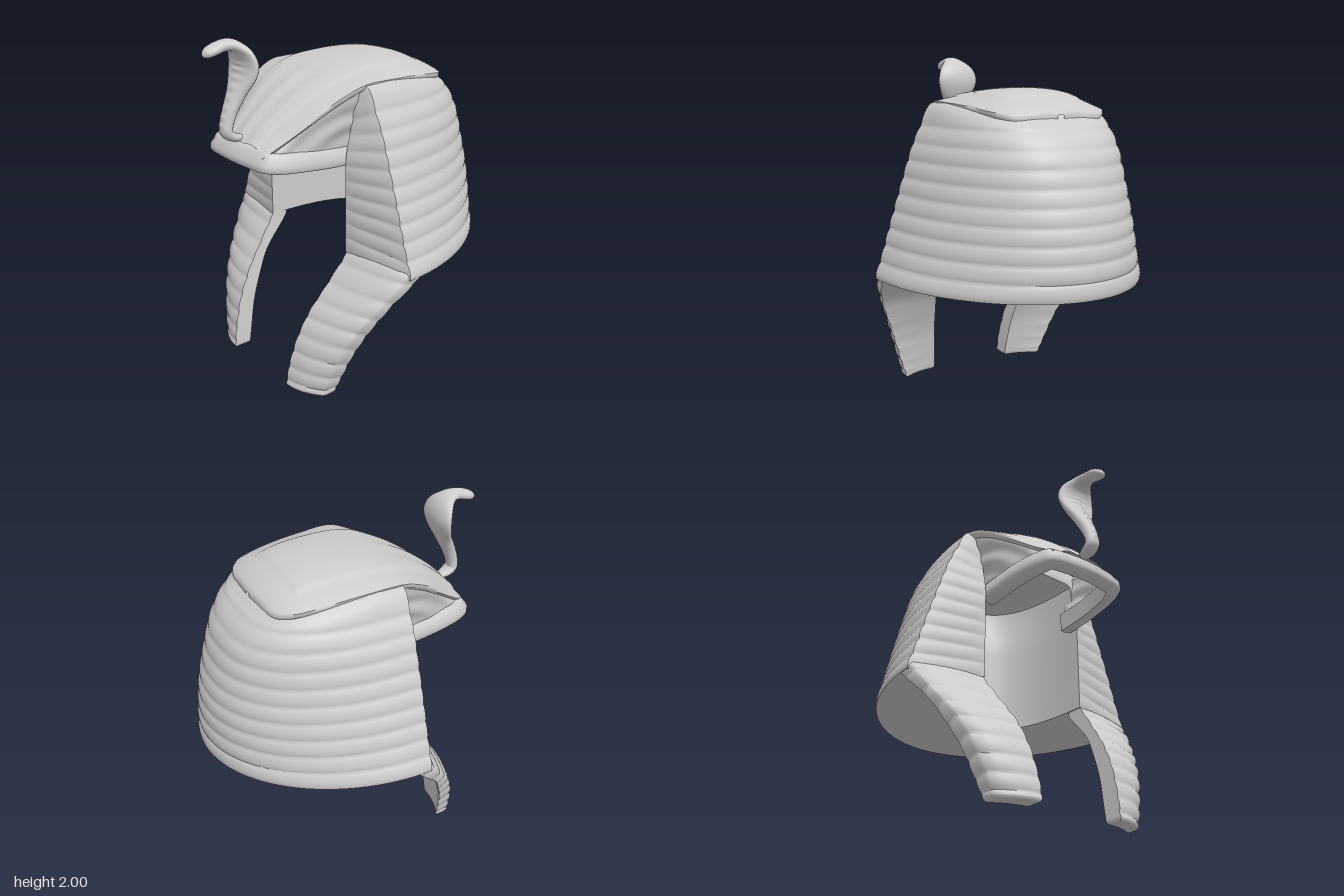
import * as THREE from 'three';
import { toCreasedNormals } from 'three/addons/utils/BufferGeometryUtils.js';

const V = (x, y, z) => new THREE.Vector3(x, y, z);
const lerp = THREE.MathUtils.lerp;
const smooth = THREE.MathUtils.smoothstep;
const power = (v, e) => Math.sign(v) * Math.pow(Math.abs(v), e);
// Rounded cloth band profile, 0 at each seam
const band = (t) => Math.pow(Math.abs(Math.sin(Math.PI * t)), 0.6);

// Smooth interpolation through rows of numbers, t from 0 to 1
function spline(rows) {
  const n = rows.length - 1;
  return (t) => {
    const p = Math.min(Math.max(t, 0), 1) * n;
    const i = Math.min(Math.floor(p), n - 1), f = p - i;
    const a = rows[Math.max(i - 1, 0)], b = rows[i], c = rows[i + 1], d = rows[Math.min(i + 2, n)];
    return b.map((_, k) => {
      const cubic = 3 * (b[k] - c[k]) + d[k] - a[k];
      const square = 2 * a[k] - 5 * b[k] + 4 * c[k] - d[k];
      return b[k] + 0.5 * f * (c[k] - a[k] + f * (square + f * cubic));
    });
  };
}

// Skin a list of cross-sections; faces are turned to point outward
function loft(rings, { closed = true, caps = false, crease = 0.8 } = {}) {
  const n = rings[0].length, pts = rings.flat(), idx = [];
  for (let r = 0; r < rings.length - 1; r++) {
    for (let i = 0; i < (closed ? n : n - 1); i++) {
      const a = r * n + i, b = r * n + (i + 1) % n;
      idx.push(a, b, a + n, b, b + n, a + n);
    }
  }
  if (caps) {
    [0, rings.length - 1].forEach((r) => {
      const mid = rings[r].reduce((s, p) => s.add(p), V(0, 0, 0)).divideScalar(n);
      const m = pts.push(mid) - 1;
      for (let i = 0; i < n; i++) {
        const a = r * n + i, b = r * n + (i + 1) % n;
        idx.push(...(r ? [a, b, m] : [b, a, m]));
      }
    });
  }
  let volume = 0;
  const cross = V(0, 0, 0);
  for (let i = 0; i < idx.length; i += 3) {
    volume += cross.crossVectors(pts[idx[i + 1]], pts[idx[i + 2]]).dot(pts[idx[i]]);
  }
  if (volume < 0) idx.reverse();
  const geo = new THREE.BufferGeometry().setFromPoints(pts);
  geo.setIndex(idx);
  // Enlarged while finding creases so that close vertices stay apart
  geo.scale(40, 40, 40);
  const out = toCreasedNormals(geo, crease);
  out.scale(1 / 40, 1 / 40, 1 / 40);
  return out;
}

// Hollow banded hood, open at the face
function hoodGeometry() {
  const shape = spline([ // half width, back depth, squareness, at y = 0.7 to 1.7
    [0.797, 0.875, 1.94], [0.735, 0.866, 2], [0.673, 0.842, 2.1],
    [0.608, 0.792, 2.25], [0.538, 0.717, 2.55], [0.452, 0.575, 3.1]]);
  const U = 56, P = 4, z0 = 0.15, rings = [];
  const ring = (y, iy, scale, fold = 0) => {
    const [w, back, n] = shape(y - 0.7);
    const bump = 0.011 * band((y - 0.74) / 0.0965);
    const outer = [], inner = [];
    for (let i = 0; i <= U; i++) {
      const a = Math.PI * i / U, c = Math.cos(a), s = Math.sin(a);
      const zo = z0 - (back + z0 + bump) * Math.pow(s, 2 / n) * scale;
      const sag = 0.09 * Math.max(0, -zo) * smooth(y, 1.6, 1.73);
      const o = V((w + bump) * power(c, 2 / n) * scale, y - sag, zo);
      const zi = 0.235 - 0.05 * smooth(iy, 1.3, 1.62);
      const q = V(0.35 * power(c, 0.75) * scale, iy, zi - 0.64 * Math.pow(s, 0.75) * scale);
      const mid = o.clone().lerp(q, 0.5);
      outer.push(o.lerp(mid, fold));
      inner.push(q.lerp(mid, fold));
    }
    const panel = (a, b) => Array.from({ length: P }, (_, k) => {
      const p = a.clone().lerp(b, (k + 1) / (P + 1));
      p.z += 0.8 * bump * (1 - fold);
      return p;
    });
    return [...outer, ...panel(outer[U], inner[U]), ...inner.slice().reverse(), ...panel(inner[0], outer[0])];
  };
  rings.push(ring(0.74, 0.78, 1, 1));
  const rows = 80;
  for (let r = 0; r <= rows; r++) rings.push(ring(lerp(0.74, 1.7, r / rows), lerp(0.78, 1.62, r / rows), 1));
  rings.push(ring(1.725, 1.63, 0.95), ring(1.742, 1.635, 0.87), ring(1.75, 1.64, 0));
  return loft(rings);
}

// Crown plate stations, front to back: z, top y, rim half width, rim y
const crown = spline([
  [0.7, 1.44, 0.235, 1.43], [0.6, 1.54, 0.265, 1.485], [0.45, 1.655, 0.33, 1.59],
  [0.3, 1.735, 0.385, 1.685], [0.15, 1.785, 0.412, 1.742], [-0.05, 1.812, 0.405, 1.74],
  [-0.25, 1.812, 0.39, 1.728], [-0.4, 1.78, 0.365, 1.71], [-0.48, 1.75, 0.33, 1.7],
  [-0.54, 1.715, 0.24, 1.685], [-0.56, 1.69, 0.02, 1.68]]);

function crownGeometry() {
  const rings = [], S = 24;
  for (let r = 0; r <= 80; r++) {
    const [z, top, w, rim] = crown(r / 80), ring = [];
    const front = Math.max(0, (z - 0.4) / 0.3);
    const curl = (side) => [V(side * w * 0.93, rim - 0.045, z), V(side * w, rim - 0.022, z)];
    for (let i = -S; i <= S; i++) {
      const s = i / S, a = Math.abs(s);
      const raised = 0.01 * smooth(z, -0.42, -0.37) * (1 - smooth(a, 0.6, 0.72));
      const pleat = 0.005 * Math.cos(s * 14) * smooth(z, 0.1, 0.35) * (1 - a);
      ring.push(V(w * s, rim + (top - rim) * (1 - Math.pow(a, 2.4)) + raised + pleat, z - 0.04 * s * s * front));
    }
    rings.push([...curl(-1), ...ring, ...curl(1).reverse()]);
  }
  return loft(rings, { closed: false, crease: 1.1 });
}

// Recessed side panel with arched ribs, between crown rim and brow band
function templeGeometry(side) {
  const foot = spline([[0.205], [0.255], [0.295], [0.31], [0.315]]);
  const rings = [];
  for (let r = 0; r <= 40; r++) {
    const [z, , w, rim] = crown(0.4 * r / 40), [xb] = foot(r / 40), ring = [];
    for (let i = 0; i <= 24; i++) {
      const y = lerp(rim - 0.04, 1.37 + 0.08 * (z - 0.2), i / 24);
      const rib = 0.008 * Math.sin(48 * Math.hypot((z - 0.18) * 0.7, y - 1.36));
      ring.push(V(side * (lerp(w * 0.94, xb, i / 24) + rib * Math.sin(Math.PI * i / 24)), y, z));
    }
    rings.push(ring);
  }
  return loft(rings, { closed: false });
}

// Band over the forehead, swept from temple to temple
function browGeometry() {
  const half = [[0.345, 0.19, 1.29], [0.345, 0.32, 1.297], [0.337, 0.47, 1.31],
    [0.307, 0.63, 1.322], [0.25, 0.715, 1.333], [0.12, 0.738, 1.337]];
  const path = spline([...half, [0, 0.745, 1.338], ...half.slice().reverse().map(([x, z, y]) => [-x, z, y])]);
  const rings = [];
  for (let r = 0; r <= 72; r++) {
    const t = r / 72, [x, z, y] = path(t), a = path(t - 0.01), b = path(t + 0.01);
    const n = V(b[1] - a[1], 0, a[0] - b[0]).normalize();
    const lean = lerp(0.014, 0.042, Math.abs(n.z));
    const section = [[-0.008, 0], [0, 0.012], [-0.002, 0.04], [-lean, 0.092], [-lean - 0.01, 0.1],
      [-0.09, 0.1], [-0.085, -0.012], [-0.06, -0.016]];
    rings.push(section.map(([d, h]) => V(x + n.x * d, y + h, z + n.z * d)));
  }
  return loft(rings, { caps: true });
}

// Hanging banded flap beside the neck
function lappetGeometry(side) {
  const path = spline([ // front z, front y, back z, back y, inner x, outer x
    [0.19, 0.82, 0.13, 0.8, 0.355, 0.7], [0.235, 0.76, 0.14, 0.74, 0.355, 0.775],
    [0.355, 0.6, 0.295, 0.575, 0.333, 0.715], [0.46, 0.455, 0.38, 0.42, 0.308, 0.642],
    [0.535, 0.3, 0.44, 0.27, 0.288, 0.58], [0.58, 0.14, 0.475, 0.12, 0.272, 0.525],
    [0.598, 0.02, 0.495, 0.02, 0.265, 0.488]]);
  const rings = [];
  const section = (t, bump, shrink, drop) => {
    const [zf, yf, zb, yb, xi, xo] = path(t);
    const f = V(0, yf - drop, zf), b = V(0, yb - drop, zb);
    const out = f.clone().sub(b).normalize();
    f.addScaledVector(out, bump - shrink);
    b.addScaledVector(out, shrink);
    const at = (p, k, shift) => V(side * lerp(xi + shrink, xo + bump - shrink, k), p.y, p.z - shift * k * k);
    const ks = [0, 0.25, 0.5, 0.75, 0.97], edge = lerp(0.075, 0.095, t);
    return [...ks.map((k) => at(f, k, edge)), at(f.clone().lerp(b, 0.15), 1, edge),
      ...[1, 0.75, 0.5, 0.25, 0].map((k) => at(b, k, 0.065))];
  };
  for (let r = 0; r <= 80; r++) rings.push(section(r / 80, 0.009 * band(r / 80 * 9.5), 0, 0));
  rings.push(section(1, 0.006, 0.004, 0.013), section(1, 0.003, 0.012, 0.02));
  return loft(rings, { caps: true });
}

// Rearing serpent: a flattened tube that widens into the hood and ends in the head
function serpentGeometry() {
  const path = spline([ // z, y, half width, half thickness
    [0.68, 1.462, 0.03, 0.02], [0.725, 1.475, 0.044, 0.026], [0.762, 1.507, 0.045, 0.032],
    [0.757, 1.56, 0.045, 0.035], [0.73, 1.63, 0.052, 0.038], [0.69, 1.71, 0.075, 0.04],
    [0.652, 1.79, 0.118, 0.039], [0.638, 1.86, 0.133, 0.037], [0.657, 1.925, 0.112, 0.034],
    [0.705, 1.963, 0.066, 0.032], [0.76, 1.967, 0.046, 0.032], [0.82, 1.952, 0.05, 0.03],
    [0.858, 1.937, 0.036, 0.024], [0.876, 1.928, 0.012, 0.01]]);
  const rings = [];
  for (let r = 0; r <= 110; r++) {
    const t = r / 110, [z, y, w, d] = path(t), a = path(t - 0.005), b = path(t + 0.005);
    const n = V(0, a[0] - b[0], b[1] - a[1]).normalize();
    const ribs = 0.003 * Math.sin(t * 130) * smooth(t, 0.15, 0.2) * (1 - smooth(t, 0.5, 0.6));
    rings.push(Array.from({ length: 28 }, (_, i) => {
      const q = i / 28 * Math.PI * 2, s = Math.sin(q);
      const k = d * s + (s > 0 ? ribs * Math.pow(s, 8) : 0);
      return V(w * Math.cos(q), y + n.y * k, z + n.z * k);
    }));
  }
  return loft(rings, { caps: true, crease: 1.2 });
}

export function createModel() {
  const model = new THREE.Group();
  model.name = 'royalHeaddress';
  const clay = new THREE.MeshStandardMaterial({ color: 0xcccccc, side: THREE.DoubleSide });
  clay.name = 'pale grey';
  const add = (name, geometry) => {
    const mesh = new THREE.Mesh(geometry, clay);
    mesh.name = name;
    model.add(mesh);
  };
  add('hood', hoodGeometry());
  add('crownPlate', crownGeometry());
  add('browBand', browGeometry());
  add('serpent', serpentGeometry());
  [['left', 1], ['right', -1]].forEach(([name, side]) => {
    add(name + 'Temple', templeGeometry(side));
    add(name + 'Lappet', lappetGeometry(side));
  });
  return model;
}
